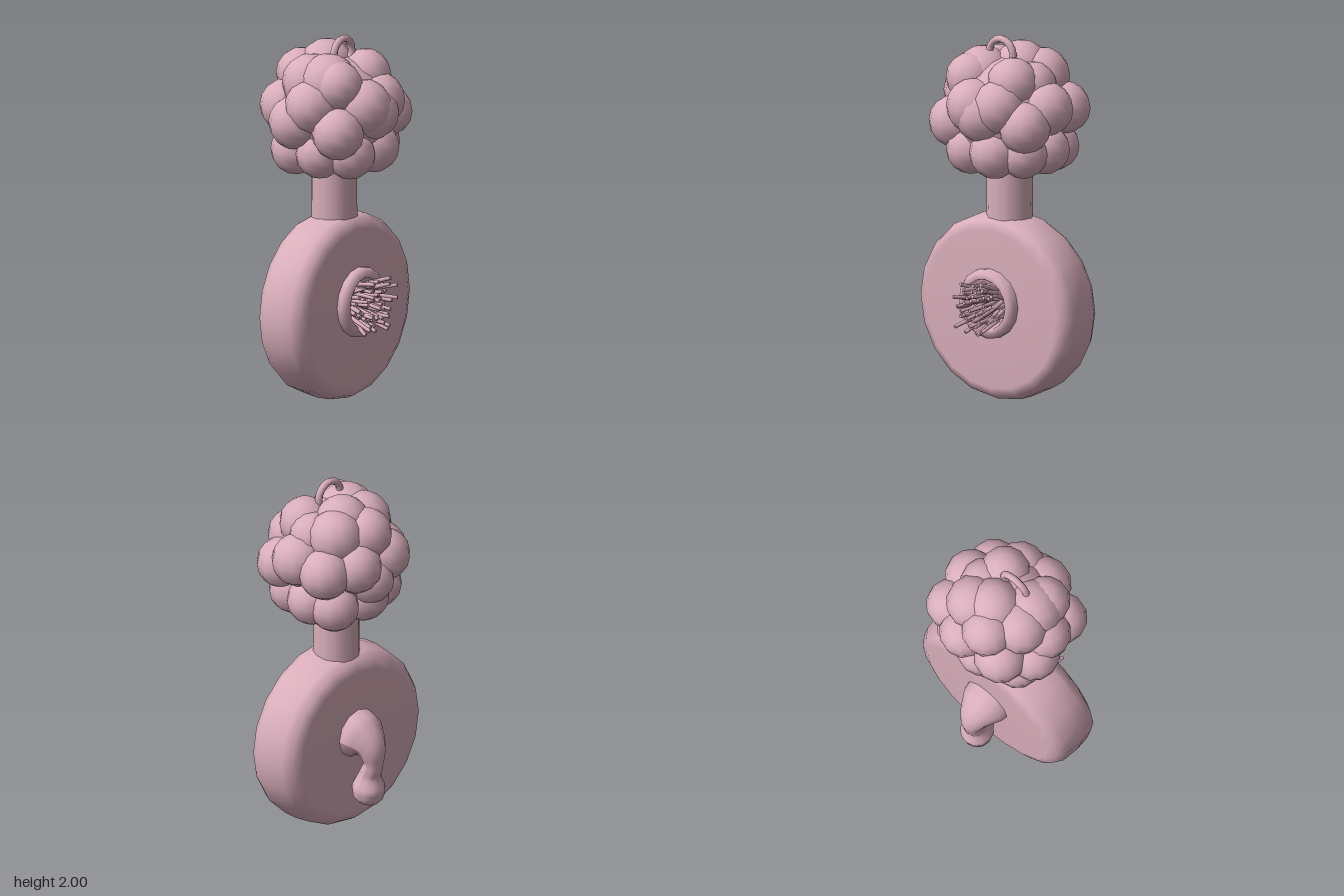
import * as THREE from 'three';

export function createModel() {
  const model = new THREE.Group();
  const pink = new THREE.MeshStandardMaterial({ color: 0xd9aebb });
  pink.name = 'dusty pink';
  const add = (name, geometry, parent = model, x = 0, y = 0, z = 0) => {
    const mesh = new THREE.Mesh(geometry, pink);
    mesh.name = name;
    mesh.position.set(x, y, z);
    parent.add(mesh);
    return mesh;
  };
  // Lathe turned so that its axis runs along z
  const latheZ = (points, sides) =>
    new THREE.LatheGeometry(points.map(([r, z]) => new THREE.Vector2(r, z)), sides).rotateX(Math.PI / 2);

  // Round, thick body with softened edges
  const body = latheZ([[0, -0.168], [0.42, -0.171], [0.475, -0.15], [0.507, -0.1], [0.52, 0],
    [0.517, 0.08], [0.495, 0.125], [0.445, 0.152], [0, 0.153]], 20);
  add('body', body.scale(1, 0.978, 1), model, 0, 0.509, 0);

  // Neck
  add('neck', new THREE.CylinderGeometry(0.121, 0.125, 0.5, 14), model, 0.004, 1.22, -0.01);

  // Cluster of overlapping balls: x, y, z, radius
  const cluster = new THREE.Group();
  cluster.name = 'headCluster';
  model.add(cluster);
  const balls = [
    // crown
    [-0.13, 1.755, 0.05, 0.165], [-0.14, 1.75, -0.06, 0.155], [0.03, 1.8, -0.08, 0.15], [0.13, 1.765, -0.13, 0.15],
    [0.12, 1.765, 0.11, 0.14], [-0.15, 1.76, 0.13, 0.135], [-0.03, 1.755, -0.2, 0.14], [0.17, 1.74, 0, 0.13],
    // middle
    [-0.05, 1.64, 0.23, 0.15], [0.1, 1.65, 0.21, 0.145], [0.01, 1.6, 0.23, 0.15], [0.24, 1.55, 0.16, 0.14],
    [0.27, 1.63, 0.01, 0.145], [0.25, 1.6, -0.17, 0.14], [0.09, 1.61, -0.245, 0.14], [-0.14, 1.6, -0.22, 0.145],
    [-0.25, 1.55, -0.08, 0.145], [-0.24, 1.65, 0.02, 0.145], [-0.22, 1.52, 0.18, 0.14], [-0.02, 1.5, -0.235, 0.135],
    // underside
    [0.07, 1.395, 0.2, 0.14], [-0.11, 1.385, 0.18, 0.135], [0.2, 1.39, 0.12, 0.13], [0.22, 1.39, -0.04, 0.135],
    [0.18, 1.38, -0.17, 0.135], [-0.03, 1.38, -0.18, 0.14], [-0.18, 1.38, -0.13, 0.135], [-0.19, 1.385, 0.04, 0.135],
    // core
    [0, 1.57, 0, 0.31],
  ];
  for (const [x, y, z, r] of balls) add('clusterBall', new THREE.SphereGeometry(r, 12, 8), cluster, x, y, z);

  // Hanging loop on the crown
  add('topLoop', new THREE.TorusGeometry(0.08, 0.02, 8, 16), model, -0.004, 1.9, 0.052);

  // Round cup on the front
  const cup = latheZ([[0.19, 0.13], [0.19, 0.18], [0.172, 0.205], [0.145, 0.208], [0.138, 0.2], [0.132, 0.165], [0, 0.16]], 16);
  add('frontCup', cup, model, 0, 0.545, 0);

  // Bristles fanning out of the cup
  const bristles = new THREE.Group();
  bristles.name = 'bristles';
  model.add(bristles);
  let seed = 7;
  const random = () => (seed = (seed * 16807) % 2147483647) / 2147483647;
  const count = 64;
  for (let i = 0; i < count; i++) {
    const angle = i * 2.39996, spread = Math.sqrt((i + 0.5) / count);
    const dir = new THREE.Vector3(Math.cos(angle), Math.sin(angle), 0);
    const base = dir.clone().multiplyScalar(0.11 * spread).setZ(0.155);
    const tip = dir.clone().multiplyScalar(0.145 * spread + (random() - 0.5) * 0.03).setZ(0.235 + random() * 0.085);
    tip.x += (random() - 0.5) * 0.05;
    tip.y += (random() - 0.5) * 0.05;
    const axis = tip.clone().sub(base);
    const bristle = add('bristle', new THREE.CylinderGeometry(0.01, 0.013, axis.length(), 6), bristles);
    bristle.position.copy(base).add(tip).multiplyScalar(0.5);
    bristle.position.y += 0.545;
    bristle.quaternion.setFromUnitVectors(new THREE.Vector3(0, 1, 0), axis.normalize());
  }

  // Curved tail on the back: a tube whose thickness varies along its path
  const path = new THREE.CatmullRomCurve3([[0.555, -0.14], [0.545, -0.2], [0.505, -0.265], [0.42, -0.285],
    [0.34, -0.26], [0.265, -0.25], [0.2, -0.245], [0.155, -0.235]].map(([y, z]) => new THREE.Vector3(0, y, z)));
  const radii = [0.145, 0.135, 0.085, 0.052, 0.06, 0.092, 0.08, 0.005];
  const steps = 28, sides = 12;
  const tail = new THREE.TubeGeometry(path, steps, 1, sides);
  const p = tail.attributes.position, v = new THREE.Vector3();
  for (let i = 0; i <= steps; i++) {
    const centre = path.getPointAt(i / steps), k = path.getUtoTmapping(i / steps) * (radii.length - 1);
    const a = Math.min(Math.floor(k), radii.length - 2);
    const r = THREE.MathUtils.lerp(radii[a], radii[a + 1], k - a);
    for (let j = 0; j <= sides; j++) {
      const n = i * (sides + 1) + j;
      v.fromBufferAttribute(p, n).sub(centre).multiplyScalar(r).add(centre);
      p.setXYZ(n, v.x, v.y, v.z);
    }
  }
  tail.computeVertexNormals();
  add('tail', tail);

  return model;
}
